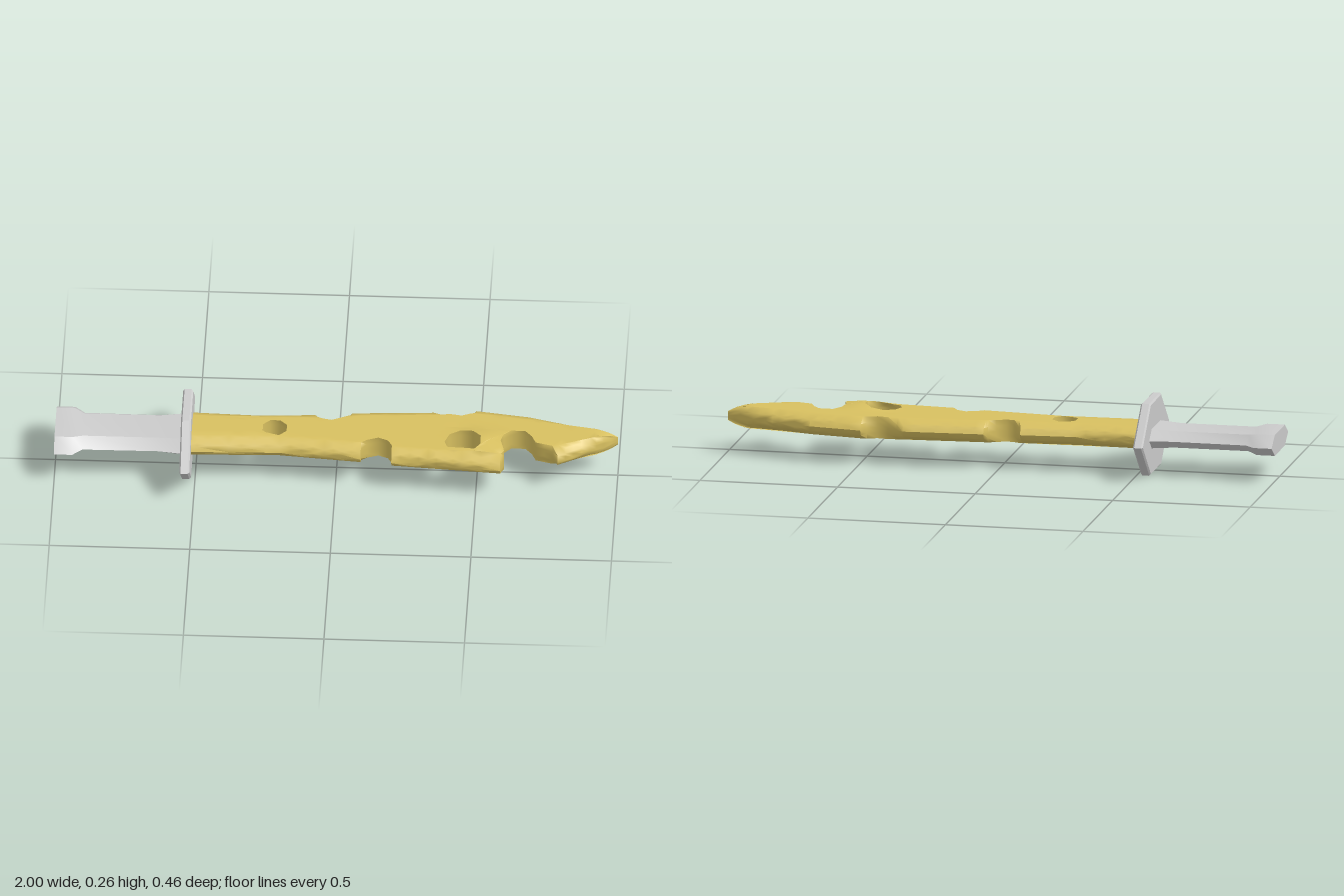
import * as THREE from 'three';
import { toCreasedNormals } from 'three/addons/utils/BufferGeometryUtils.js';

const MID = 0.131; // height of the sword's centre plane

function build(positions, crease) {
  const g = new THREE.BufferGeometry();
  g.setAttribute('position', new THREE.Float32BufferAttribute(positions, 3));
  return toCreasedNormals(g, crease);
}

// Lofts hexagonal sections along x: [x, half height, half flat width, half full width]
function hexLoft(stations, crease) {
  const rings = stations.map(([x, h, f, w]) => [
    [x, h, -f], [x, h, f], [x, 0, w], [x, -h, f], [x, -h, -f], [x, 0, -w],
  ]);
  const out = [];
  const tri = (a, b, c) => out.push(...a, ...b, ...c);
  for (let i = 0; i < rings.length - 1; i++) {
    for (let j = 0; j < 6; j++) {
      const k = (j + 1) % 6, p = rings[i], q = rings[i + 1];
      tri(p[j], p[k], q[k]);
      tri(p[j], q[k], q[j]);
    }
  }
  const first = rings[0], last = rings[rings.length - 1];
  for (let j = 1; j < 5; j++) {
    tri(first[0], first[j + 1], first[j]);
    tri(last[0], last[j], last[j + 1]);
  }
  return build(out, crease);
}

// Piecewise linear lookup
function lookup(table, x) {
  for (let i = 1; i < table.length; i++) {
    const [x0, v0] = table[i - 1], [x1, v1] = table[i];
    if (x <= x1) return v0 + (v1 - v0) * Math.max(0, (x - x0) / (x1 - x0));
  }
  return table[table.length - 1][1];
}

// Halves the longest edges until every edge is short enough
function subdivide(triangles, limit) {
  const done = [], todo = [...triangles];
  while (todo.length) {
    const t = todo.pop();
    const len = [0, 1, 2].map((i) => t[i].distanceTo(t[(i + 1) % 3]));
    const i = len.indexOf(Math.max(...len));
    if (len[i] <= limit) { done.push(t); continue; }
    const a = t[i], b = t[(i + 1) % 3], c = t[(i + 2) % 3];
    const m = a.clone().add(b).multiplyScalar(0.5);
    todo.push([a, m, c], [m, b, c]);
  }
  return done;
}

function bladeGeometry() {
  // Plan outline (x, z) with the bites taken out of both edges
  const outline = [
    [-0.53, -0.113], [-0.42, -0.105], [-0.28, -0.105], [-0.08, -0.117],
    [-0.07, -0.08], [-0.05, -0.06], [-0.02, -0.054], [0.015, -0.07], [0.04, -0.1], [0.05, -0.133],
    [0.18, -0.147], [0.34, -0.15], [0.365, -0.128], [0.4, -0.115], [0.44, -0.1], [0.475, -0.122], [0.49, -0.166],
    [0.58, -0.155], [0.68, -0.138], [0.8, -0.105], [0.9, -0.068], [1, -0.03],
    [0.9, 0.035], [0.79, 0.106], [0.77, 0.07], [0.71, 0.045], [0.695, 0.01], [0.67, -0.02], [0.62, -0.02],
    [0.595, 0.005], [0.585, 0.045], [0.6, 0.1], [0.588, 0.166],
    [0.45, 0.152], [0.33, 0.135], [0.2, 0.137], [0.2, 0.085], [0.185, 0.057], [0.15, 0.042],
    [0.11, 0.057], [0.09, 0.085], [0.09, 0.122], [-0.04, 0.105], [-0.2, 0.095], [-0.38, 0.1], [-0.53, 0.105],
  ];
  const shape = new THREE.Shape(outline.map(([x, z]) => new THREE.Vector2(x, z)));
  for (const [x, z, r, n] of [[-0.22, 0, 0.046, 8], [0.452, 0.055, 0.066, 9]]) {
    const pts = [];
    for (let i = 0; i < n; i++) {
      const a = (i + 0.5) / n * Math.PI * 2;
      pts.push(new THREE.Vector2(x + r * Math.cos(a), z + r * Math.sin(a)));
    }
    shape.holes.push(new THREE.Path(pts));
  }
  const half = 0.04;
  const raw = new THREE.ExtrudeGeometry(shape, { depth: 2 * half, steps: 4, bevelEnabled: false });
  raw.translate(0, 0, -half).rotateX(Math.PI / 2);
  const g = raw.index ? raw.toNonIndexed() : raw;

  // Round the long cutting edges, leaving the bites and holes upright
  const backEdge = [[-0.53, -0.113], [-0.28, -0.105], [-0.08, -0.117], [0.05, -0.133], [0.34, -0.15],
    [0.49, -0.166], [0.68, -0.138], [0.8, -0.105], [1, -0.03]];
  const frontEdge = [[-0.53, 0.105], [-0.2, 0.095], [0.09, 0.122], [0.2, 0.137], [0.588, 0.166], [0.79, 0.106], [1, -0.03]];
  const p = g.attributes.position, verts = [];
  for (let i = 0; i < p.count; i++) {
    const v = new THREE.Vector3().fromBufferAttribute(p, i);
    const lo = lookup(backEdge, v.x), hi = lookup(frontEdge, v.x);
    const inset = Math.min(0.05, 0.3 * (hi - lo)) * (v.y / half) ** 2;
    v.z = Math.min(Math.max(v.z, lo + inset), hi - inset);
    verts.push(v);
  }
  const tris = [];
  for (let i = 0; i < verts.length; i += 3) tris.push(verts.slice(i, i + 3));

  // Swell around the large hole, and thin the tip
  const out = [];
  for (const v of subdivide(tris, 0.05).flat()) {
    const d = Math.min(1, Math.hypot((v.x - 0.51) / 0.13, (v.z - 0.045) / 0.1));
    const swell = 1 + 0.38 * (1 - d * d) ** 2;
    const tip = lookup([[0.93, 1], [0.97, 0.75], [1, 0.4]], v.x);
    out.push(v.x, v.y * swell * tip, v.z);
  }
  return build(out, 1.1);
}

export function createModel() {
  const group = new THREE.Group();
  const grey = new THREE.MeshStandardMaterial({ color: 0xcccccc });
  const gold = new THREE.MeshStandardMaterial({ color: 0xd8c060 });
  const add = (name, geometry, material) => {
    const mesh = new THREE.Mesh(geometry, material);
    mesh.name = name;
    mesh.position.y = MID;
    group.add(mesh);
  };

  // Handle: flared pommel, slim grip, slight flare into the guard
  add('handle', hexLoft([
    [-1, 0.038, 0.085, 0.14], [-0.935, 0.038, 0.085, 0.14], [-0.9, 0.03, 0.065, 0.107],
    [-0.63, 0.03, 0.065, 0.105], [-0.53, 0.036, 0.075, 0.118],
  ], 0.6), grey);

  // Guard: hexagonal plate with slightly chamfered rims
  add('guard', hexLoft([
    [-0.55, 0.125, 0.087, 0.222], [-0.545, 0.131, 0.092, 0.232],
    [-0.52, 0.131, 0.092, 0.232], [-0.514, 0.125, 0.087, 0.222],
  ], 0.5), grey);

  add('blade', bladeGeometry(), gold);
  return group;
}
